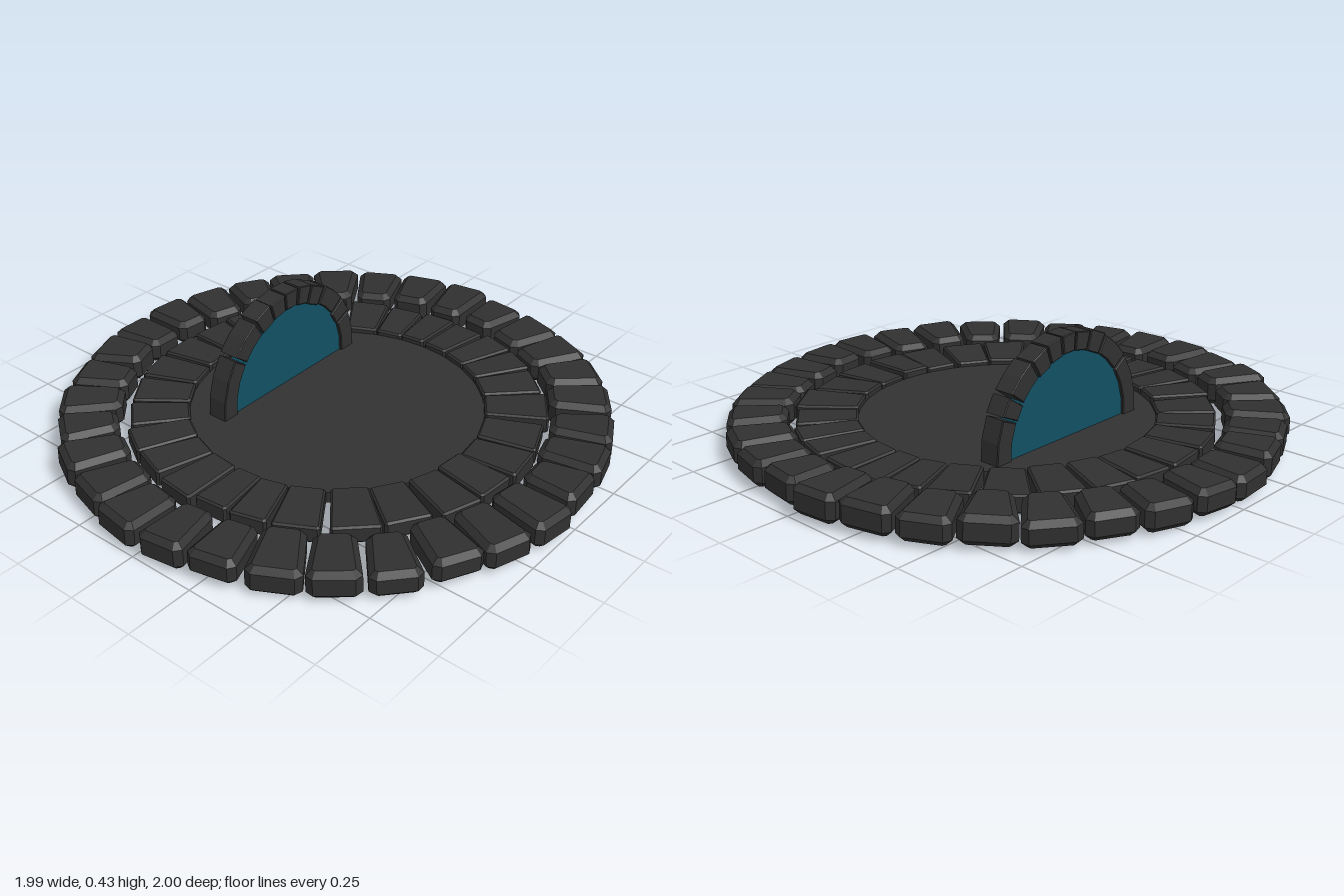
import * as THREE from 'three';

const stoneMat = new THREE.MeshStandardMaterial({ color: 0x303030 });
stoneMat.name = 'dark stone';
const floorMat = new THREE.MeshStandardMaterial({ color: 0x323232 });
floorMat.name = 'floor stone';
const portalMat = new THREE.MeshStandardMaterial({ color: 0x115064 });
portalMat.name = 'portal blue';

// small seeded generator, returns -1..1
let seed = 7;
function jitter(amount) {
  seed = (seed * 16807) % 2147483647;
  return ((seed / 2147483647) * 2 - 1) * amount;
}

function polygon(points) {
  return new THREE.Shape(points.map(([x, y]) => new THREE.Vector2(x, y)));
}

function bevelled(shape, height, bevel) {
  return new THREE.ExtrudeGeometry(shape, {
    depth: height - 2 * bevel, bevelEnabled: true, bevelSegments: 1,
    bevelThickness: bevel, bevelSize: bevel, bevelOffset: -bevel, curveSegments: 6,
  }).translate(0, 0, bevel);
}

// tapered paving stone, its length running along -z from the centre of its length
function pavingStone(w0, w1, length, height, cut, bevel) {
  const a = w0 / 2, b = w1 / 2, l = length / 2;
  const shape = polygon([
    [-a + cut, -l], [a - cut, -l], [a, -l + cut], [b, l - cut],
    [b - cut, l], [-b + cut, l], [-b, l - cut], [-a, -l + cut],
  ]);
  return bevelled(shape, height, bevel).rotateX(-Math.PI / 2).translate(0, -height / 2, 0);
}

// places a stone at a clockwise angle seen from above
function place(mesh, angle, radius, y, turn, cz = 0) {
  mesh.position.set(Math.sin(angle) * radius, y, cz - Math.cos(angle) * radius);
  mesh.rotation.set(jitter(0.03), -angle + turn, jitter(0.03), 'YXZ');
}

export function createModel() {
  const model = new THREE.Group();
  model.name = 'stonePortal';

  // round floor
  const floor = new THREE.Mesh(new THREE.CylinderGeometry(0.53, 0.53, 0.04, 64), floorMat);
  floor.name = 'floor';
  floor.position.set(0, 0.05, -0.01);
  model.add(floor);

  // outer ring of large chamfered stones
  const outer = new THREE.Group();
  outer.name = 'outerRing';
  for (let i = 0; i < 32; i++) {
    const r1 = 0.985 + jitter(0.013), r0 = 0.768 + jitter(0.012);
    const geo = pavingStone(0.135 + jitter(0.008), 0.178 + jitter(0.008), r1 - r0, 0.096 + jitter(0.006), 0.022, 0.02);
    const stone = new THREE.Mesh(geo, stoneMat);
    stone.name = 'outerStone';
    place(stone, ((i + 0.5) / 32) * Math.PI * 2, (r0 + r1) / 2, 0.067 + jitter(0.006), jitter(0.06));
    outer.add(stone);
  }
  model.add(outer);

  // inner ring, stone centres in degrees
  const inner = new THREE.Group();
  inner.name = 'innerRing';
  const angles = [5.2, 17, 28, 40, 54, 69, 82.5, 95.7, 108, 122.6, 136, 151, 163.5, 174,
    186, 199, 211, 224, 237, 250.5, 264, 277.5, 290, 303.6, 317, 331, 343, 354];
  angles.forEach((deg, i) => {
    const n = angles.length;
    const prev = angles[(i + n - 1) % n] - (i === 0 ? 360 : 0);
    const next = angles[(i + 1) % n] + (i === n - 1 ? 360 : 0);
    const span = THREE.MathUtils.degToRad((next - prev) / 2);
    const r0 = 0.528, r1 = 0.745 + jitter(0.01);
    const geo = pavingStone(r0 * span - 0.004, r1 * span - 0.018, r1 - r0, 0.064, 0.008, 0.007);
    const stone = new THREE.Mesh(geo, stoneMat);
    stone.name = 'innerStone';
    place(stone, THREE.MathUtils.degToRad(deg), (r0 + r1) / 2, 0.06 + jitter(0.004), jitter(0.025), -0.01);
    inner.add(stone);
  });
  model.add(inner);

  // arch drawn in its own plane, then turned so that it faces +x
  const arch = new THREE.Group();
  arch.name = 'arch';
  arch.position.set(-0.235, 0.082, -0.03);
  arch.rotation.y = -Math.PI / 2;
  const spans = [[-3, 35], [37, 59], [60.5, 73], [74, 85.5], [86.5, 97], [98.5, 109],
    [110, 122], [123.5, 143], [145, 155.5], [157, 183]];
  for (const [from, to] of spans) {
    const r0 = 0.29 + jitter(0.004), r1 = 0.362 + jitter(0.004);
    const steps = Math.max(1, Math.round((to - from) / 13));
    const outside = [], inside = [];
    for (let i = 0; i <= steps; i++) {
      const a = THREE.MathUtils.degToRad(from + ((to - from) * i) / steps);
      outside.push([Math.cos(a) * r1, Math.sin(a) * r1]);
      inside.unshift([Math.cos(a) * r0, Math.sin(a) * r0]);
    }
    const stone = new THREE.Mesh(bevelled(polygon([...outside, ...inside]), 0.078, 0.003), stoneMat);
    stone.name = 'archStone';
    arch.add(stone);
  }

  // portal half disc filling the arch
  const half = new THREE.Shape();
  half.absarc(0, 0, 0.3, 0, Math.PI, false);
  half.lineTo(-0.3, -0.02);
  half.lineTo(0.3, -0.02);
  const portal = new THREE.Mesh(
    new THREE.ExtrudeGeometry(half, { depth: 0.056, bevelEnabled: false, curveSegments: 32 }), portalMat);
  portal.name = 'portal';
  portal.position.z = 0.011;
  arch.add(portal);
  model.add(arch);

  return model;
}
